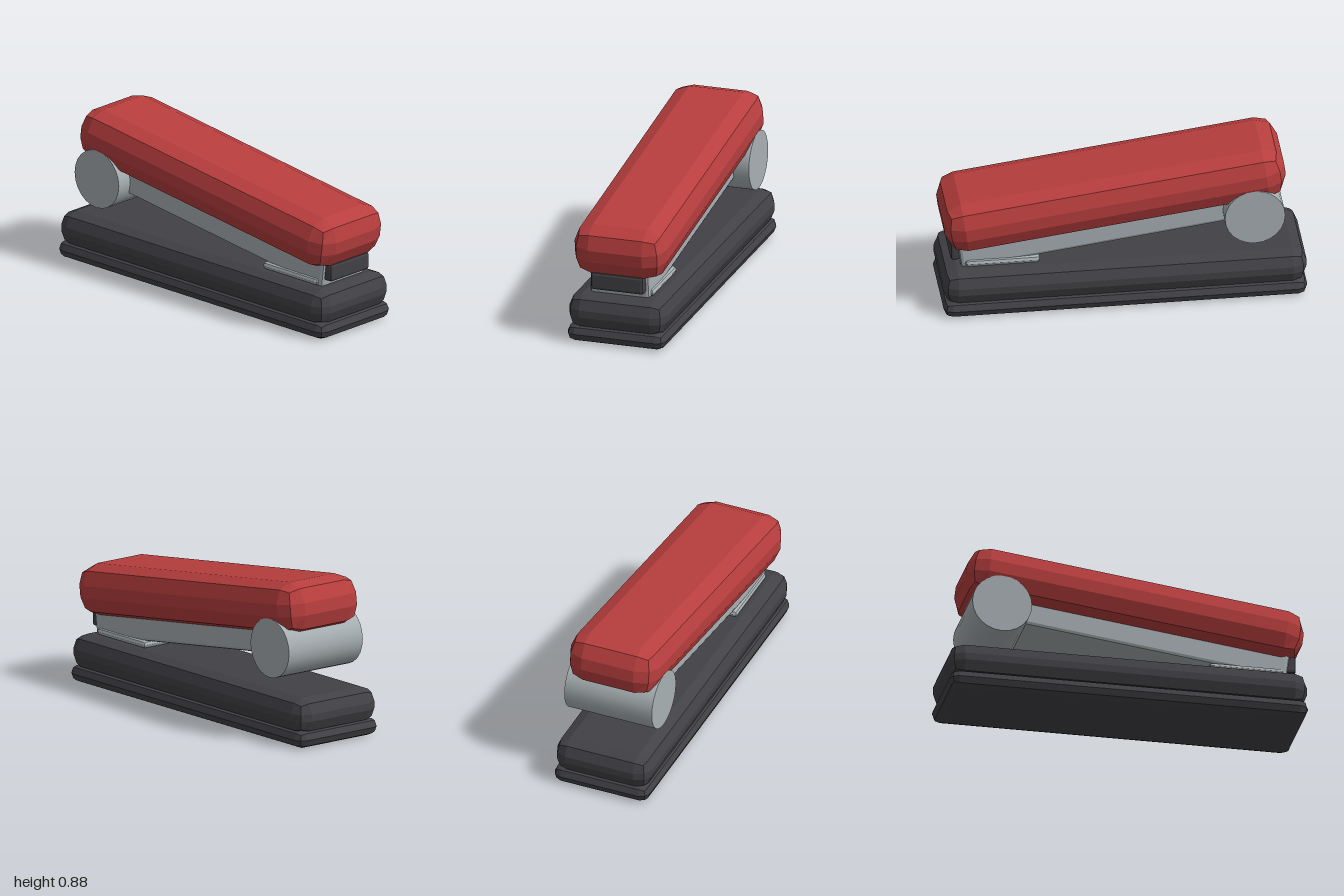
import * as THREE from 'three';
import { RoundedBoxGeometry } from 'three/addons/geometries/RoundedBoxGeometry.js';

const mat = (name, color) => {
  const m = new THREE.MeshStandardMaterial({ color });
  m.name = name;
  return m;
};

// Box with faceted two-step bevels, given as [min, max] ranges
function bevelBox(name, material, [x0, x1], [y0, y1], [z0, z1], radius) {
  const geo = new RoundedBoxGeometry(x1 - x0, y1 - y0, z1 - z0, 1, radius);
  geo.computeVertexNormals(); // unindexed, so this gives flat facets
  const mesh = new THREE.Mesh(geo, material);
  mesh.name = name;
  mesh.position.set((x0 + x1) / 2, (y0 + y1) / 2, (z0 + z1) / 2);
  return mesh;
}

export function createModel() {
  const red = mat('red plastic', 0xb83e3e);
  const dark = mat('charcoal plastic', 0x424146);
  const steel = mat('steel', 0xa8b0b3);

  const model = new THREE.Group();
  model.name = 'stapler';

  // Base: thin foot slab under a thicker body
  model.add(bevelBox('footSlab', dark, [-0.282, 0.282], [0, 0.1], [-1, 1], 0.05));
  model.add(bevelBox('baseBody', dark, [-0.282, 0.282], [0.072, 0.272], [-1, 1], 0.08));

  // Anvil plate lying on the base
  model.add(bevelBox('anvilPlate', steel, [-0.185, 0.185], [0.27, 0.312], [0.46, 0.875], 0.02));

  // Tilted upper assembly, low at the front
  const arm = new THREE.Group();
  arm.name = 'upperArm';
  arm.position.set(0, 0.631, 0.05);
  arm.rotation.x = THREE.MathUtils.degToRad(7.5);
  arm.add(bevelBox('topCover', red, [-0.265, 0.265], [-0.145, 0.145], [-0.945, 0.945], 0.11));
  arm.add(bevelBox('magazine', steel, [-0.17, 0.17], [-0.263, -0.06], [-0.78, 0.885], 0.02));
  model.add(arm);

  // Dark nose block under the front of the cover
  model.add(bevelBox('noseBlock', dark, [-0.152, 0.152], [0.303, 0.404], [0.85, 0.95], 0.015));

  // Hinge barrel across the back
  const hinge = new THREE.Mesh(new THREE.CylinderGeometry(0.166, 0.166, 0.52, 24), steel);
  hinge.name = 'hingeBarrel';
  hinge.rotation.z = Math.PI / 2;
  hinge.position.set(0, 0.519, -0.71);
  model.add(hinge);

  return model;
}
